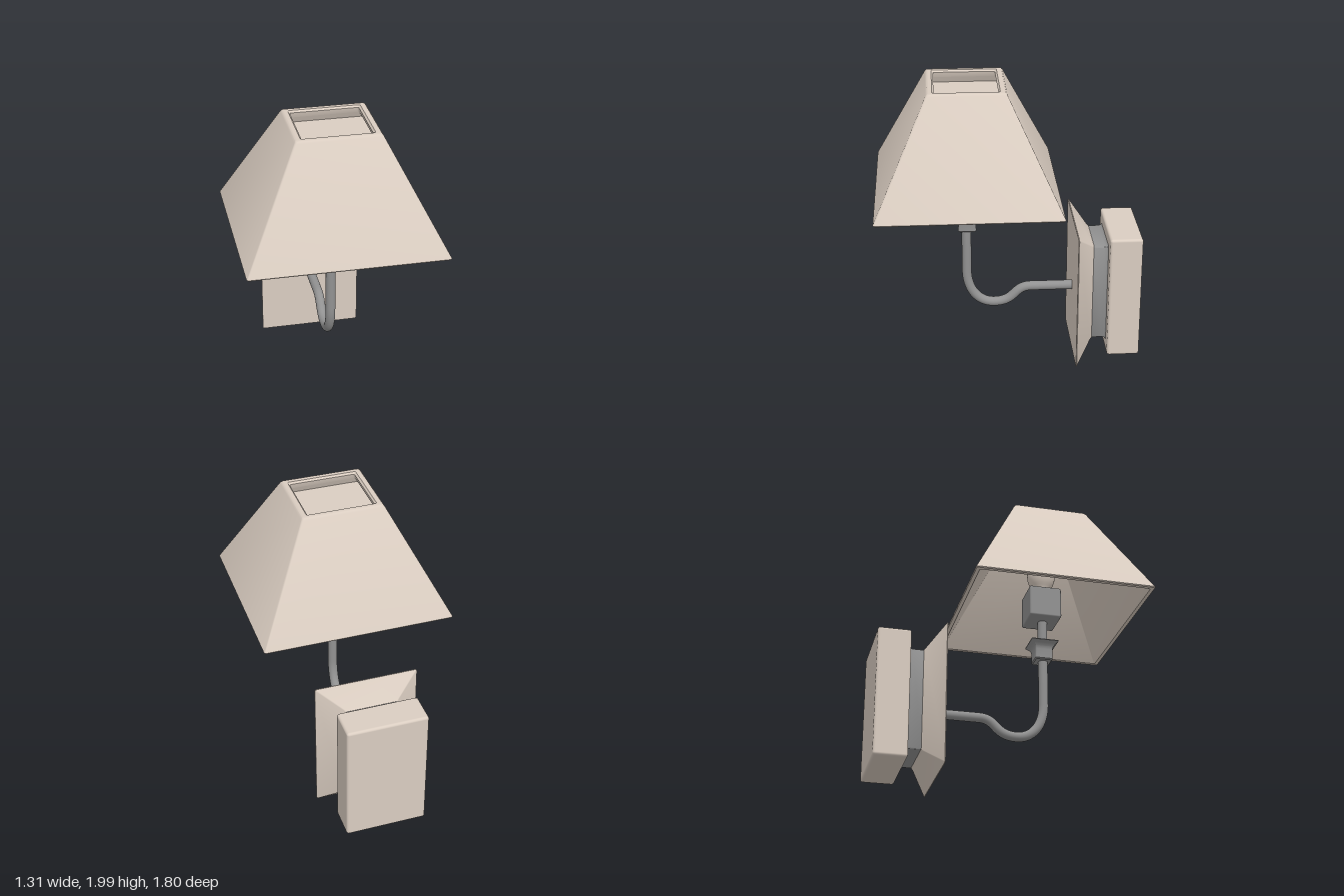
import * as THREE from 'three';
import { toCreasedNormals } from 'three/addons/utils/BufferGeometryUtils.js';
import { RoundedBoxGeometry } from 'three/addons/geometries/RoundedBoxGeometry.js';

// Loft through rounded rectangles stacked along y: rows of [y, halfX, halfZ, cornerRadius]
function loftRects(rows, capped = true) {
  const steps = 4, n = 4 * (steps + 1), pos = [], index = [];
  const signs = [[1, -1], [-1, -1], [-1, 1], [1, 1]];
  for (const [y, hx, hz, r] of rows) {
    signs.forEach(([sx, sz], c) => {
      for (let k = 0; k <= steps; k++) {
        const a = (c + k / steps) * Math.PI / 2;
        pos.push(sx * (hx - r) + r * Math.cos(a), y, sz * (hz - r) - r * Math.sin(a));
      }
    });
  }
  for (let j = 0; j < rows.length - 1; j++) {
    for (let i = 0; i < n; i++) {
      const a = j * n + i, b = j * n + (i + 1) % n;
      index.push(a, b, b + n, a, b + n, a + n);
    }
  }
  if (capped) {
    const top = (rows.length - 1) * n;
    for (let i = 1; i < n - 1; i++) index.push(0, i + 1, i, top, top + i, top + i + 1);
  }
  const g = new THREE.BufferGeometry();
  g.setAttribute('position', new THREE.Float32BufferAttribute(pos, 3));
  g.setIndex(index);
  return toCreasedNormals(g, 0.6);
}

export function createModel() {
  const group = new THREE.Group();
  const linen = new THREE.MeshStandardMaterial({ name: 'linen beige', color: 0xdacdc1 });
  const metal = new THREE.MeshStandardMaterial({ name: 'brushed grey metal', color: 0x929292 });
  const add = (name, geometry, material, x = 0, y = 0, z = 0) => {
    const mesh = new THREE.Mesh(geometry, material);
    mesh.name = name;
    mesh.position.set(x, y, z);
    group.add(mesh);
    return mesh;
  };
  const lampZ = 0.285;

  // Shade: outside up, over the rim, inside down, back to the start
  add('shade', loftRects([
    [1.255, 0.65, 0.61, 0.012],
    [1.262, 0.655, 0.615, 0.015],
    [1.985, 0.284, 0.263, 0.015],
    [1.996, 0.275, 0.254, 0.015],
    [2.0, 0.262, 0.241, 0.015],
    [1.998, 0.24, 0.22, 0.012],
    [1.985, 0.228, 0.208, 0.01],
    [1.95, 0.235, 0.215, 0.01],
    [1.255, 0.625, 0.585, 0.01],
    [1.255, 0.65, 0.61, 0.012],
  ], false), linen, 0, 0, lampZ);

  // Panel closing the shade a little below the top opening
  add('shadePanel', loftRects([
    [1.9, 0.265, 0.245, 0.01],
    [1.907, 0.261, 0.241, 0.01],
  ]), linen, 0, 0, lampZ);

  // Bulb
  const bulbProfile = [[0.0, 1.44], [0.055, 1.44], [0.06, 1.48], [0.085, 1.53], [0.098, 1.585],
    [0.09, 1.64], [0.06, 1.685], [0.03, 1.7], [0, 1.704]];
  const curve = new THREE.SplineCurve(bulbProfile.slice(1).map(([r, y]) => new THREE.Vector2(r, y)));
  add('bulb', new THREE.LatheGeometry(curve.getPoints(24).map(p => p.setX(Math.max(p.x, 0))), 32),
    linen, 0, 0, lampZ);

  // Square socket block and flared square cup
  add('socket', new RoundedBoxGeometry(0.24, 0.225, 0.225, 3, 0.012), metal, 0, 1.345, lampZ);
  add('cup', loftRects([
    [0.928, 0.055, 0.055, 0.01],
    [0.936, 0.062, 0.062, 0.012],
    [1.005, 0.062, 0.062, 0.012],
    [1.025, 0.066, 0.066, 0.012],
    [1.045, 0.08, 0.08, 0.008],
    [1.06, 0.095, 0.095, 0.004],
    [1.065, 0.095, 0.095, 0.004],
  ]), metal, 0, 0, lampZ);

  // Bent arm: straight stem, hook, then a run to the wall plate
  const v = (y, z) => new THREE.Vector3(0, y, z);
  const arm = new THREE.CurvePath();
  arm.add(new THREE.LineCurve3(v(1.26, 0.29), v(0.61, 0.29)));
  arm.add(new THREE.CubicBezierCurve3(v(0.61, 0.29), v(0.46, 0.29), v(0.36, 0.21), v(0.36, 0.1)));
  arm.add(new THREE.CubicBezierCurve3(v(0.36, 0.1), v(0.36, -0.06), v(0.475, -0.03), v(0.475, -0.16)));
  arm.add(new THREE.LineCurve3(v(0.475, -0.16), v(0.475, -0.46)));
  add('arm', new THREE.TubeGeometry(arm, 140, 0.033, 20), metal);

  // Wall plate: flat front flaring out from a narrow neck
  const alongZ = rows => loftRects(rows).rotateX(Math.PI / 2);
  add('wallPlate', alongZ([
    [-0.58, 0.18, 0.352, 0.012],
    [-0.565, 0.195, 0.366, 0.012],
    [-0.455, 0.358, 0.488, 0.015],
    [-0.45, 0.358, 0.488, 0.015],
  ]), linen, 0, 0.495, 0);
  add('neck', alongZ([
    [-0.68, 0.2, 0.368, 0.012],
    [-0.668, 0.188, 0.357, 0.012],
    [-0.65, 0.184, 0.353, 0.012],
    [-0.575, 0.184, 0.353, 0.012],
  ]), metal, 0, 0.495, 0);

  // Back box
  add('backBox', new RoundedBoxGeometry(0.56, 0.89, 0.225, 3, 0.018), linen, 0, 0.495, -0.7875);

  return group;
}
